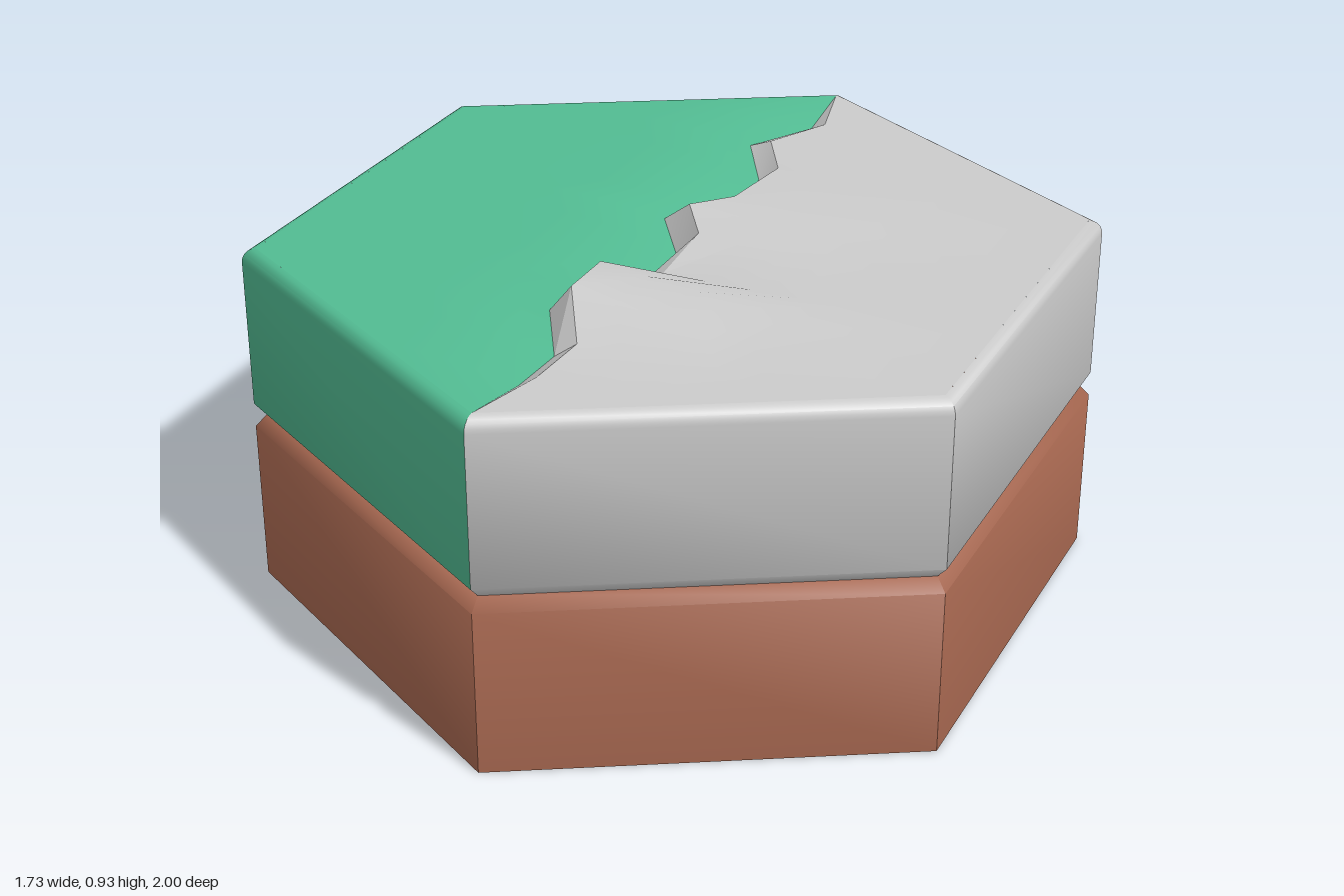
import * as THREE from 'three';
import { toCreasedNormals } from 'three/addons/utils/BufferGeometryUtils.js';

const TOP = 0.866, INSET = 0.966;

// Skin a grid of points: rows of [x, y, z], all of equal length.
function skin(rows, flip, crease) {
  const n = rows[0].length, idx = [];
  for (let i = 0; i < rows.length - 1; i++) {
    for (let j = 0; j < n - 1; j++) {
      const a = i * n + j, b = a + 1, c = a + n, d = c + 1;
      if (flip) idx.push(a, b, c, b, d, c);
      else idx.push(a, c, b, b, c, d);
    }
  }
  const g = new THREE.BufferGeometry();
  g.setAttribute('position', new THREE.Float32BufferAttribute(rows.flat(2), 3));
  g.setIndex(idx);
  return toCreasedNormals(g, crease);
}

// Sweep a [scale, y] profile round hexagon corners first..last.
function hexWall(profile, first, last) {
  const rows = [];
  for (let k = first; k <= last; k++) {
    const a = k * Math.PI / 3;
    rows.push(profile.map(([s, y]) => [Math.sin(a) * s, y, Math.cos(a) * s]));
  }
  return skin(rows, false, 0.9);
}

// Half of the top: each row runs from the crack to the rounded rim.
function topHalf(edge, side, reach, power) {
  const steps = [0, 0.25, 0.5, 0.75, 1];
  const rows = edge.map(([x, y, z]) => {
    const corner = INSET / 2;
    const zr = Math.abs(Math.abs(z) - corner) < 0.03 ? Math.sign(z) * corner : z;
    const xr = side * Math.min(INSET * 0.866, (INSET - Math.abs(zr)) * Math.sqrt(3));
    const width = Math.abs(xr - x);
    const k = width > 0 ? Math.min(reach, width * 0.9) / width : 0;
    const row = steps.map((t) => [
      x + (xr - x) * t * k,
      TOP + (y - TOP) * Math.pow(1 - t, power),
      z + (zr - z) * t * k,
    ]);
    row.push([xr, TOP, zr]);
    return row;
  });
  return skin(rows, side < 0, 0.6);
}

export function createModel() {
  const group = new THREE.Group();
  const grey = new THREE.MeshStandardMaterial({ color: 0xcccccc });
  const green = new THREE.MeshStandardMaterial({ color: 0x52bb92 });
  const brown = new THREE.MeshStandardMaterial({ color: 0xa5664f });
  const add = (name, geometry, material) => {
    const mesh = new THREE.Mesh(geometry, material);
    mesh.name = name;
    group.add(mesh);
  };

  // Earth base with chamfered upper edge
  add('base', hexWall([[0, 0], [1, 0], [1, 0.405], [0.972, 0.435], [0, 0.435]], 0, 6), brown);

  // Upper slab: chamfered foot, upright wall, rounded rim
  const wall = [[0.972, 0.435], [1, 0.465]];
  for (let i = 0; i <= 5; i++) {
    const a = i / 5 * Math.PI / 2;
    wall.push([INSET + 0.034 * Math.cos(a), TOP - 0.034 + 0.034 * Math.sin(a)]);
  }
  add('rockWall', hexWall(wall, 0, 3), grey);
  add('grassWall', hexWall(wall, 3, 6), green);

  // Lower (grass) and upper (rock) edges of the jagged crack, back to front
  const low = [
    [0, TOP, -INSET], [0, 0.83, -0.78], [-0.09, 0.84, -0.62], [0, 0.82, -0.47],
    [0, 0.81, -0.21], [-0.09, 0.84, -0.12], [0, 0.81, 0], [0, 0.82, 0.21],
    [-0.09, 0.855, 0.33], [-0.09, 0.855, 0.46], [0, 0.83, 0.61], [0, 0.835, 0.77],
    [0, TOP, INSET],
  ];
  const high = [
    [0, TOP, -INSET], [0.05, TOP, -0.77], [-0.03, TOP, -0.61], [0.055, TOP, -0.46],
    [0.055, 0.893, -0.2], [-0.02, 0.895, -0.11], [0.055, 0.88, 0], [0.055, 0.858, 0.19],
    [-0.035, 0.925, 0.32], [-0.035, 0.925, 0.46], [0.05, TOP, 0.6], [0.045, TOP, 0.77],
    [0, TOP, INSET],
  ];
  add('grassTop', topHalf(low, -1, 0.3, 2), green);
  add('rockTop', topHalf(high, 1, 0.44, 1), grey);

  // Cliff face joining the two edges
  add('cliff', skin(low.map((p, i) => [p, high[i]]), false, 0.3), grey);

  return group;
}
